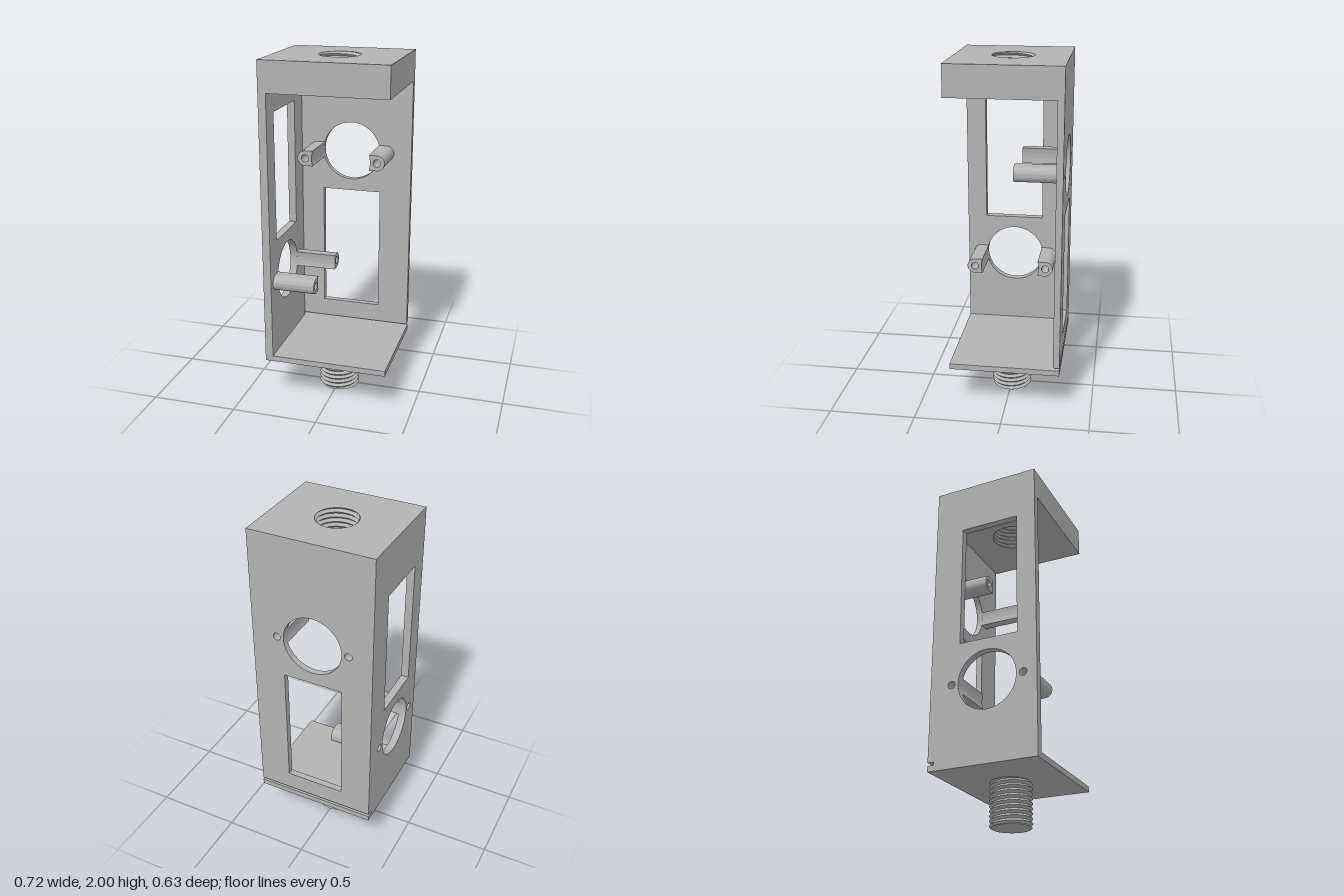
import * as THREE from 'three';
import { toCreasedNormals } from 'three/addons/utils/BufferGeometryUtils.js';

const X0 = -0.36, X1 = 0.357, Z = 0.317;          // housing footprint
const BLOCK_Y = 1.825, TOP = 2, PLATE_Y = 0.25, PLATE_TOP = 0.283;
const PORT_R = 0.173, POST_X = 0.213, POST_R = 0.045, SCREW_R = 0.022;
const PITCH = 0.027, TAU = Math.PI * 2, SEGS = 64;

const grey = new THREE.MeshStandardMaterial({ color: 0xb2b2b2, side: THREE.DoubleSide });
grey.name = 'plain grey';

function mesh(name, geometry) {
  const m = new THREE.Mesh(toCreasedNormals(geometry, 0.6), grey);
  m.name = name;
  return m;
}

function rect(ShapeType, x0, x1, y0, y1) {
  return new ShapeType([[x0, y0], [x1, y0], [x1, y1], [x0, y1]].map(p => new THREE.Vector2(...p)));
}

function circle(x, y, r) {
  return new THREE.Path().absarc(x, y, r, 0, TAU, true);
}

function extrude(shape, depth) {
  return new THREE.ExtrudeGeometry(shape, { depth, bevelEnabled: false, curveSegments: 32 });
}

// Radius of a helical V thread at one angle and height
function threadRadius(t, angle, y) {
  const phase = (y - t.y1) / PITCH - angle / TAU + 0.75;
  const p = phase - Math.floor(phase);
  return t.r + t.depth * (1 - Math.abs(2 * p - 1));
}

// Helical strip following the thread's crests and roots, clamped to its ends
function threadGeometry(t) {
  const pos = [], index = [];
  const first = -2 * Math.ceil((t.y1 - t.y0) / PITCH) - 1, rows = 4 - first;
  for (let i = 0; i <= SEGS; i++) {
    const a = i / SEGS * TAU;
    for (let j = 0; j < rows; j++) {
      const y = THREE.MathUtils.clamp(t.y1 + PITCH * (a / TAU - 0.75 + (first + j) / 2), t.y0, t.y1);
      const r = threadRadius(t, a, y);
      pos.push(r * Math.cos(a), y, -r * Math.sin(a));
      if (i < SEGS && j < rows - 1) {
        const p = i * rows + j, q = p + rows;
        if (t.inside) index.push(p, q + 1, q, p, p + 1, q + 1);
        else index.push(p, q, q + 1, p, q + 1, p + 1);
      }
    }
  }
  const g = new THREE.BufferGeometry();
  g.setAttribute('position', new THREE.Float32BufferAttribute(pos, 3));
  g.setIndex(index);
  g.computeVertexNormals();
  return g;
}

// Outline of the thread where it meets a flat face
function threadOutline(t, y) {
  return Array.from({ length: SEGS }, (_, i) => {
    const a = i / SEGS * TAU, r = threadRadius(t, a, y);
    return new THREE.Vector2(r * Math.cos(a), r * Math.sin(a));
  });
}

// Flat horizontal face; flipped ones look down
function face(shape, y, down) {
  const g = new THREE.ShapeGeometry(shape);
  if (down) {
    const ix = g.index.array;
    for (let i = 0; i < ix.length; i += 3) [ix[i], ix[i + 1]] = [ix[i + 1], ix[i]];
  }
  g.rotateX(-Math.PI / 2).translate(0, y, 0);
  g.computeVertexNormals();
  return g;
}

// Screw post: rounded outside, cut by the round port on the inside
function postGeometry(length) {
  const a = Math.asin(POST_R / PORT_R);
  const s = new THREE.Shape();
  s.moveTo(PORT_R * Math.cos(a), -POST_R);
  s.lineTo(POST_X, -POST_R);
  s.absarc(POST_X, 0, POST_R, -Math.PI / 2, Math.PI / 2, false);
  s.lineTo(PORT_R * Math.cos(a), POST_R);
  s.absarc(0, 0, PORT_R, a, -a, true);
  s.holes.push(circle(POST_X, 0, SCREW_R));
  return extrude(s, length);
}

// Wall with a round port, its two screw posts and a rectangular window
function wall(name, o) {
  const g = new THREE.Group();
  g.name = name;
  const s = rect(THREE.Shape, o.x0, o.x1, o.y0, BLOCK_Y);
  s.holes.push(circle(o.px, o.py, PORT_R), rect(THREE.Path, ...o.window));
  for (const side of [-1, 1]) {
    s.holes.push(circle(o.px + side * POST_X, o.py, SCREW_R));
    const post = mesh('screwPost', postGeometry(0.243));
    post.position.set(o.px, o.py, o.thick);
    if (side < 0) post.rotation.z = Math.PI;
    g.add(post);
  }
  g.add(mesh('panel', extrude(s, o.thick)));
  return g;
}

export function createModel() {
  const model = new THREE.Group();
  model.name = 'openHousing';

  // Back wall: port above, window below, stopping short of the base plate
  const back = wall('backWall', {
    x0: X0, x1: X1, y0: 0.3, thick: 0.037, px: -0.006, py: 1.393, window: [-0.18, 0.17, 0.41, 1.15],
  });
  back.position.z = -Z;

  // Side wall: window above, port below
  const side = wall('sideWall', {
    x0: -Z, x1: 0.28, y0: PLATE_TOP, thick: 0.045, px: -0.025, py: 0.722, window: [-0.203, 0.143, 0.963, 1.705],
  });
  side.rotation.y = Math.PI / 2;
  side.position.x = X0;

  // Base plate
  const plate = mesh('basePlate', new THREE.BoxGeometry(X1 - X0, PLATE_TOP - PLATE_Y, 2 * Z));
  plate.position.set((X0 + X1) / 2, (PLATE_Y + PLATE_TOP) / 2, 0);

  // Threaded stud below the plate
  const studThread = { r: 0.104, depth: 0.014, y0: 0, y1: PLATE_Y };
  const stud = new THREE.Group();
  stud.name = 'threadedStud';
  stud.add(
    mesh('studThread', threadGeometry(studThread)),
    mesh('studEnd', face(new THREE.Shape(threadOutline(studThread, 0)), 0, true)),
  );

  // Top block: four sides, two pierced faces and a threaded bore
  const bore = { r: 0.11, depth: 0.015, y0: BLOCK_Y, y1: TOP, inside: true };
  const block = new THREE.Group();
  block.name = 'topBlock';
  const sides = new THREE.BoxGeometry(X1 - X0, TOP - BLOCK_Y, 2 * Z);
  const ix = Array.from(sides.index.array);
  sides.setIndex([...ix.slice(0, 12), ...ix.slice(24)]);
  sides.clearGroups();
  sides.translate((X0 + X1) / 2, (TOP + BLOCK_Y) / 2, 0);
  block.add(mesh('blockSides', sides), mesh('boreThread', threadGeometry(bore)));
  for (const y of [BLOCK_Y, TOP]) {
    const s = rect(THREE.Shape, X0, X1, -Z, Z);
    s.holes.push(new THREE.Path(threadOutline(bore, y)));
    block.add(mesh(y === TOP ? 'blockTop' : 'blockUnderside', face(s, y, y === BLOCK_Y)));
  }

  model.add(back, side, plate, stud, block);
  return model;
}
